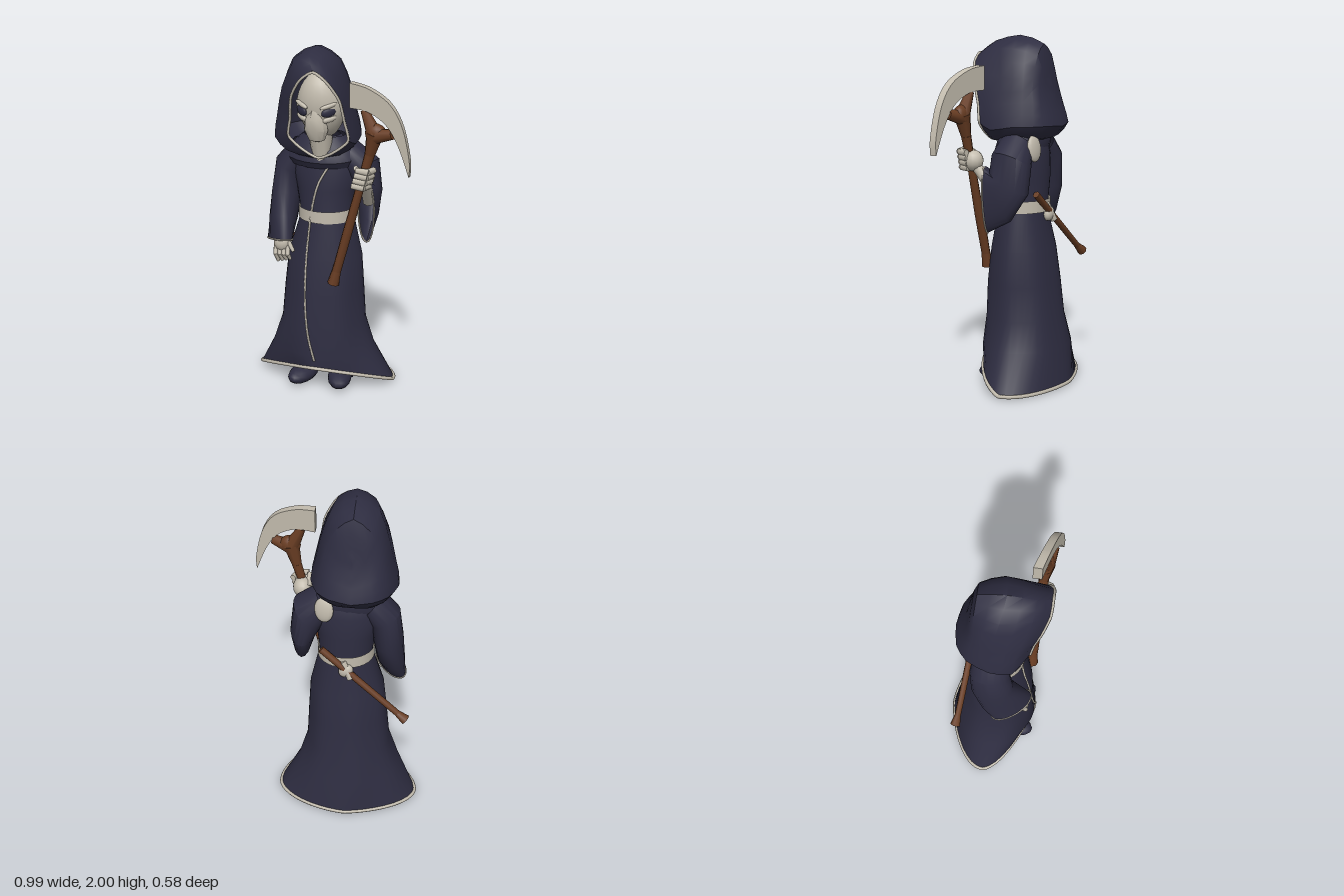
import * as THREE from 'three';
import { toCreasedNormals } from 'three/addons/utils/BufferGeometryUtils.js';

const V = (x, y, z) => new THREE.Vector3(x, y, z);

function material(name, color) {
  const m = new THREE.MeshStandardMaterial({ color, side: THREE.DoubleSide });
  m.name = name;
  return m;
}

// Skin joining closed rings of points
function loft(rings) {
  const n = rings[0].length, index = [];
  for (let j = 0; j < rings.length - 1; j++) {
    for (let i = 0; i < n; i++) {
      const a = j * n + i, b = j * n + (i + 1) % n;
      index.push(a, a + n, b, b, a + n, b + n);
    }
  }
  const g = new THREE.BufferGeometry().setFromPoints(rings.flat());
  g.setIndex(index);
  return toCreasedNormals(g, 0.65);
}

// Ring from a centre and two half-axes
function ring([c, u, v], n = 20) {
  return Array.from({ length: n }, (_, i) => {
    const a = (i / n) * Math.PI * 2;
    return V(...c).addScaledVector(V(...u), Math.cos(a)).addScaledVector(V(...v), Math.sin(a));
  });
}

// Twice as many points, on a smooth curve through the given ones
function refine(points, closed) {
  const n = closed ? points.length * 2 : points.length * 2 - 1;
  const curve = new THREE.CatmullRomCurve3(points, closed, 'catmullrom', 0.35);
  return Array.from({ length: n }, (_, i) => curve.getPoint(i / (closed ? n : n - 1)));
}

// Robe sections above the hem: y, centre x, half width, centre z, half depth
const SECTIONS = [
  [0.23, -0.08, 0.3, -0.01, 0.245], [0.4, -0.075, 0.245, 0, 0.22],
  [0.6, -0.07, 0.23, 0.005, 0.205], [0.8, -0.065, 0.213, 0.005, 0.178],
  [1.0, -0.055, 0.16, 0.008, 0.143], [1.05, -0.055, 0.15, 0.005, 0.138],
  [1.2, -0.06, 0.17, 0, 0.14], [1.33, -0.06, 0.2, 0, 0.13],
  [1.43, -0.06, 0.17, 0, 0.11], [1.5, -0.06, 0.08, 0, 0.07],
];

// Hem point: tips at the sides, drawn in between, raised at the front
function hemPoint(a) {
  const c = Math.cos(a), s = Math.sin(a), front = s > 0;
  const pinch = front ? (c < 0 ? 0.8 : 0.35) : (c < 0 ? 0.5 : 0.25);
  const x = -0.075 + 0.412 * c * Math.abs(c) ** pinch;
  return front
    ? V(x, 0.015 + 0.135 * s ** 1.2, -0.04 + 0.272 * s ** 1.15)
    : V(x, 0.015, -0.04 + 0.245 * s);
}

// Depth of the robe front at a given x and y
function robeFront(x, y) {
  const k = Math.max(1, SECTIONS.findIndex((s) => s[0] > y));
  const a = SECTIONS[k - 1], b = SECTIONS[k], t = (y - a[0]) / (b[0] - a[0]);
  const [, cx, rx, cz, rz] = a.map((q, i) => q + (b[i] - q) * t);
  return cz + rz * Math.sqrt(Math.max(0, 1 - ((x - cx) / rx) ** 2));
}

export function createModel() {
  const group = new THREE.Group();
  const cloth = material('dark cloth', 0x2e2d41);
  const bone = material('bone', 0xc3bcae);
  const wood = material('wood', 0x693d23);

  const add = (name, geo, mat) => {
    const m = new THREE.Mesh(geo, mat);
    m.name = name;
    group.add(m);
    return m;
  };
  const rod = (name, mat, a, b, ra, rb, sides = 8) => {
    const p = V(...a), q = V(...b), d = q.clone().sub(p);
    const m = add(name, new THREE.CylinderGeometry(rb, ra, d.length(), sides), mat);
    m.position.copy(p).add(q).multiplyScalar(0.5);
    m.quaternion.setFromUnitVectors(V(0, 1, 0), d.normalize());
  };
  const ball = (name, mat, pos, size, rot = [0, 0, 0]) => {
    const m = add(name, new THREE.SphereGeometry(1, 14, 10), mat);
    m.position.set(...pos);
    m.scale.set(...size);
    m.rotation.set(...rot);
  };
  const cord = (name, points, radius, closed) => add(name,
    new THREE.TubeGeometry(new THREE.CatmullRomCurve3(points, closed, 'centripetal'), points.length * 3, radius, 6, closed), bone);

  // Robe with light folds in the skirt
  const angles = Array.from({ length: 40 }, (_, i) => (i / 40) * Math.PI * 2);
  const hem = angles.map(hemPoint);
  const robeRings = SECTIONS.map(([y, cx, rx, cz, rz], j) => angles.map((a) => {
    const fold = j < 4 ? 1 + 0.015 * Math.cos(7 * a) : 1;
    return V(cx + rx * fold * Math.cos(a), y, cz + rz * fold * Math.sin(a));
  }));
  add('robe', loft([hem, ...robeRings]), cloth);
  cord('hemTrim', hem, 0.011, true);

  // Cowl over the shoulders
  add('cowl', loft([
    ring([[-0.07, 1.5, 0], [0.12, 0, 0], [0, 0, 0.09]]),
    ring([[-0.07, 1.44, 0.01], [0.19, 0, 0], [0, -0.01, 0.13]]),
    ring([[-0.07, 1.385, 0.015], [0.215, 0, 0], [0, -0.02, 0.14]]),
    ring([[-0.07, 1.34, 0.01], [0.2, 0, 0], [0, -0.01, 0.125]]),
  ]), cloth);

  // Front seam
  const seam = [[-0.01, 1.34], [-0.06, 1.25], [-0.1, 1.1], [-0.12, 0.9], [-0.125, 0.7], [-0.12, 0.5], [-0.1, 0.34], [-0.06, 0.2]];
  cord('frontSeam', seam.map(([x, y]) => V(x, y, robeFront(x, y) + 0.002)), 0.0065, false);

  // Belt
  const belt = add('belt', new THREE.CylinderGeometry(1, 1, 0.07, 32, 1, true), bone);
  belt.scale.set(0.162, 1, 0.152);
  belt.position.set(-0.055, 1.05, 0.005);

  // Legs and boots
  for (const [x, z, turn] of [[-0.17, 0.11, -0.25], [0.05, 0.1, 0.25]]) {
    rod('leg', cloth, [x, 0.03, z - 0.06], [x, 0.45, z - 0.1], 0.065, 0.075);
    ball('boot', cloth, [x, 0.052, z], [0.07, 0.052, 0.13], [0, turn, 0]);
  }

  // Sleeves, each with a trimmed cuff
  const sleeves = {
    leftSleeve: [
      [[0.06, 1.39, -0.01], [0, 0, 0.1], [0.05, 0.075, 0]],
      [[0.15, 1.31, -0.025], [0, 0.02, 0.115], [0.085, 0.06, 0]],
      [[0.18, 1.2, -0.025], [0, 0.06, 0.115], [0.075, 0, 0]],
      [[0.195, 1.14, 0.035], [0, 0.15, 0.08], [0.062, 0, 0]],
      [[0.205, 1.1, 0.105], [0, 0.185, 0.01], [0.045, 0, 0]],
    ],
    rightSleeve: [
      [[-0.2, 1.39, -0.01], [0, 0, 0.1], [-0.05, 0.07, 0]],
      [[-0.275, 1.3, -0.015], [0, 0, 0.11], [-0.08, 0.04, 0]],
      [[-0.295, 1.14, 0], [0, 0.02, 0.118], [-0.085, 0, 0]],
      [[-0.302, 1.0, 0.055], [0.02, 0.04, 0.12], [-0.085, 0, -0.01]],
      [[-0.305, 0.885, 0.11], [0.04, 0.03, 0.105], [-0.083, -0.01, -0.02]],
    ],
  };
  for (const [name, rows] of Object.entries(sleeves)) {
    const rings = rows.map((r) => ring(r));
    add(name, loft(rings), cloth);
    cord(name + 'Trim', rings[rings.length - 1], 0.005, true);
  }

  // Pale patch at the back of the left shoulder
  ball('shoulderPatch', bone, [0.055, 1.385, -0.118], [0.055, 0.075, 0.022], [0.12, -0.2, 0]);

  // Left forearm and fist around the staff
  rod('leftForearm', bone, [0.2, 1.14, 0.04], [0.215, 1.3, 0.17], 0.035, 0.03);
  ball('leftPalm', bone, [0.215, 1.32, 0.18], [0.055, 0.06, 0.06]);
  for (let i = 0; i < 4; i++) {
    const y = 1.28 + i * 0.03, x = 0.192 + i * 0.008;
    rod('leftFinger', bone, [x + 0.055, y, 0.19], [x + 0.035, y, 0.245], 0.018, 0.018, 6);
    rod('leftFinger', bone, [x + 0.04, y, 0.245], [x - 0.03, y + 0.008, 0.25], 0.019, 0.015, 6);
  }
  rod('leftThumb', bone, [0.18, 1.34, 0.16], [0.18, 1.385, 0.23], 0.02, 0.014, 6);

  // Right forearm and hanging hand
  rod('rightForearm', bone, [-0.3, 1.02, 0.08], [-0.275, 0.9, 0.15], 0.03, 0.028);
  ball('rightPalm', bone, [-0.272, 0.885, 0.165], [0.048, 0.055, 0.042]);
  for (let i = 0; i < 4; i++) {
    const x = -0.305 + i * 0.024;
    rod('rightFinger', bone, [x, 0.87, 0.175], [x + 0.004, 0.82, 0.195], 0.015, 0.014, 6);
    rod('rightFinger', bone, [x + 0.004, 0.825, 0.195], [x + 0.014, 0.775 + i * 0.006, 0.18], 0.014, 0.009, 6);
  }
  rod('rightThumb', bone, [-0.24, 0.9, 0.165], [-0.195, 0.845, 0.19], 0.016, 0.01, 6);

  // Hood: half outlines from crown to chin, mirrored and joined front to back
  const hoodRows = [
    [-0.045, [[0, 1.9, 0.275], [0.075, 1.85, 0.272], [0.135, 1.75, 0.24], [0.155, 1.62, 0.205], [0.17, 1.52, 0.19], [0.09, 1.45, 0.19], [0, 1.41, 0.19]]],
    [-0.09, [[0, 1.965, 0.2], [0.1, 1.92, 0.19], [0.175, 1.78, 0.15], [0.215, 1.62, 0.12], [0.235, 1.485, 0.11], [0.15, 1.42, 0.14], [0, 1.395, 0.15]]],
    [-0.1, [[0, 2, 0.05], [0.13, 1.93, 0.03], [0.185, 1.77, 0], [0.215, 1.63, 0], [0.242, 1.505, -0.01], [0.17, 1.42, 0], [0, 1.4, 0]]],
    [-0.1, [[0, 1.955, -0.1], [0.09, 1.89, -0.105], [0.145, 1.77, -0.105], [0.175, 1.64, -0.12], [0.195, 1.51, -0.135], [0.13, 1.43, -0.11], [0, 1.42, -0.1]]],
    [-0.1, [[0, 1.8, -0.135], [0.06, 1.76, -0.14], [0.08, 1.7, -0.148], [0.1, 1.61, -0.172], [0.115, 1.51, -0.2], [0.08, 1.44, -0.155], [0, 1.43, -0.145]]],
    [-0.1, [[0, 1.72, -0.155], [0, 1.69, -0.16], [0, 1.65, -0.172], [0, 1.58, -0.193], [0, 1.5, -0.22], [0, 1.45, -0.17], [0, 1.44, -0.155]]],
  ];
  const hoodRings = hoodRows.map(([cx, half]) => refine([
    ...half.map(([x, y, z]) => V(cx + x, y, z)),
    ...half.slice(1, 6).reverse().map(([x, y, z]) => V(cx - x, y, z)),
  ], true));
  const strips = hoodRings[0].map((_, i) => refine(hoodRings.map((r) => r[i]), false));
  add('hood', loft(strips[0].map((_, j) => strips.map((s) => s[j]))), cloth);
  cord('hoodTrim', hoodRings[0], 0.008, true);

  // Skull mask, narrowing to the chin
  const skull = new THREE.SphereGeometry(1, 20, 16);
  const p = skull.attributes.position;
  for (let i = 0; i < p.count; i++) {
    const y = p.getY(i), k = y < 0 ? 1 + 0.12 * y : 1 - 0.1 * y;
    p.setXYZ(i, p.getX(i) * 0.138 * k, y * 0.192, p.getZ(i) * 0.12 + 0.025 * y);
  }
  skull.computeVertexNormals();
  add('skullMask', skull, bone).position.set(-0.047, 1.69, 0.12);
  rod('neck', bone, [-0.055, 1.38, 0.1], [-0.055, 1.56, 0.12], 0.05, 0.07, 10);

  // Blunt muzzle, brows, cheeks and eyes
  add('muzzle', loft([
    ring([[-0.055, 1.7, 0.205], [0.015, 0, 0], [0, 0, 0.03]], 10),
    ring([[-0.055, 1.63, 0.2], [0.06, 0, 0], [0, 0, 0.05]], 10),
    ring([[-0.055, 1.57, 0.195], [0.068, 0, 0], [0, 0, 0.05]], 10),
    ring([[-0.055, 1.51, 0.18], [0.045, 0, 0], [0, 0, 0.04]], 10),
    ring([[-0.055, 1.495, 0.18], [0.001, 0, 0], [0, 0, 0.001]], 10),
  ]), bone);
  for (const s of [-1, 1]) {
    const x = -0.053 + s * 0.076;
    ball('eye', cloth, [x, 1.675, 0.214], [0.042, 0.026, 0.014], [0, s * 0.6, s * 0.25]);
    ball('brow', bone, [x, 1.71, 0.216], [0.05, 0.014, 0.014], [0, s * 0.55, s * 0.3]);
    ball('cheek', bone, [x, 1.635, 0.2], [0.045, 0.018, 0.016], [0, s * 0.55, s * 0.3]);
  }

  // Staff with a forked head
  const staff = [[0.04, 0.68, 0.19, 0.034], [0.06, 0.76, 0.19, 0.026], [0.125, 1.0, 0.195, 0.027], [0.205, 1.3, 0.2, 0.023], [0.25, 1.46, 0.203, 0.029], [0.28, 1.58, 0.21, 0.048]];
  for (let i = 1; i < staff.length; i++) {
    const a = staff[i - 1], b = staff[i];
    rod('staff', wood, a.slice(0, 3), b.slice(0, 3), a[3], b[3]);
  }
  ball('forkHub', wood, [0.285, 1.58, 0.212], [0.06, 0.055, 0.04]);
  rod('forkArm', wood, [0.28, 1.57, 0.21], [0.215, 1.7, 0.195], 0.045, 0.022);
  rod('forkArm', wood, [0.28, 1.565, 0.21], [0.385, 1.59, 0.238], 0.045, 0.028);

  // Curved blade, swept forward and thinning to the tip
  const outline = new THREE.Shape();
  outline.moveTo(0.135, 1.84);
  outline.splineThru([[0.25, 1.82], [0.37, 1.755], [0.445, 1.64], [0.488, 1.47], [0.488, 1.375]].map((q) => new THREE.Vector2(...q)));
  outline.splineThru([[0.425, 1.53], [0.355, 1.635], [0.25, 1.695], [0.135, 1.705]].map((q) => new THREE.Vector2(...q)));
  outline.closePath();
  const blade = new THREE.ExtrudeGeometry(outline, { depth: 0.05, bevelEnabled: false, curveSegments: 16 });
  const b = blade.attributes.position;
  for (let i = 0; i < b.count; i++) {
    const t = (b.getX(i) - 0.135) / 0.355;
    b.setZ(i, 0.175 + 0.095 * t + (b.getZ(i) - 0.025) * (1 - 0.25 * t));
  }
  blade.computeVertexNormals();
  add('blade', blade, bone);

  // Stick carried across the back in a bone clasp
  rod('backStick', wood, [0.07, 1.13, -0.14], [-0.38, 0.745, -0.193], 0.02, 0.018);
  rod('backStickEnd', wood, [-0.37, 0.753, -0.192], [-0.42, 0.715, -0.2], 0.018, 0.03);
  ball('backClasp', bone, [-0.07, 1.0, -0.15], [0.04, 0.045, 0.028], [0, 0, 0.7]);
  rod('claspStrap', bone, [-0.055, 1.06, -0.145], [-0.1, 0.96, -0.168], 0.018, 0.022, 6);
  return group;
}
